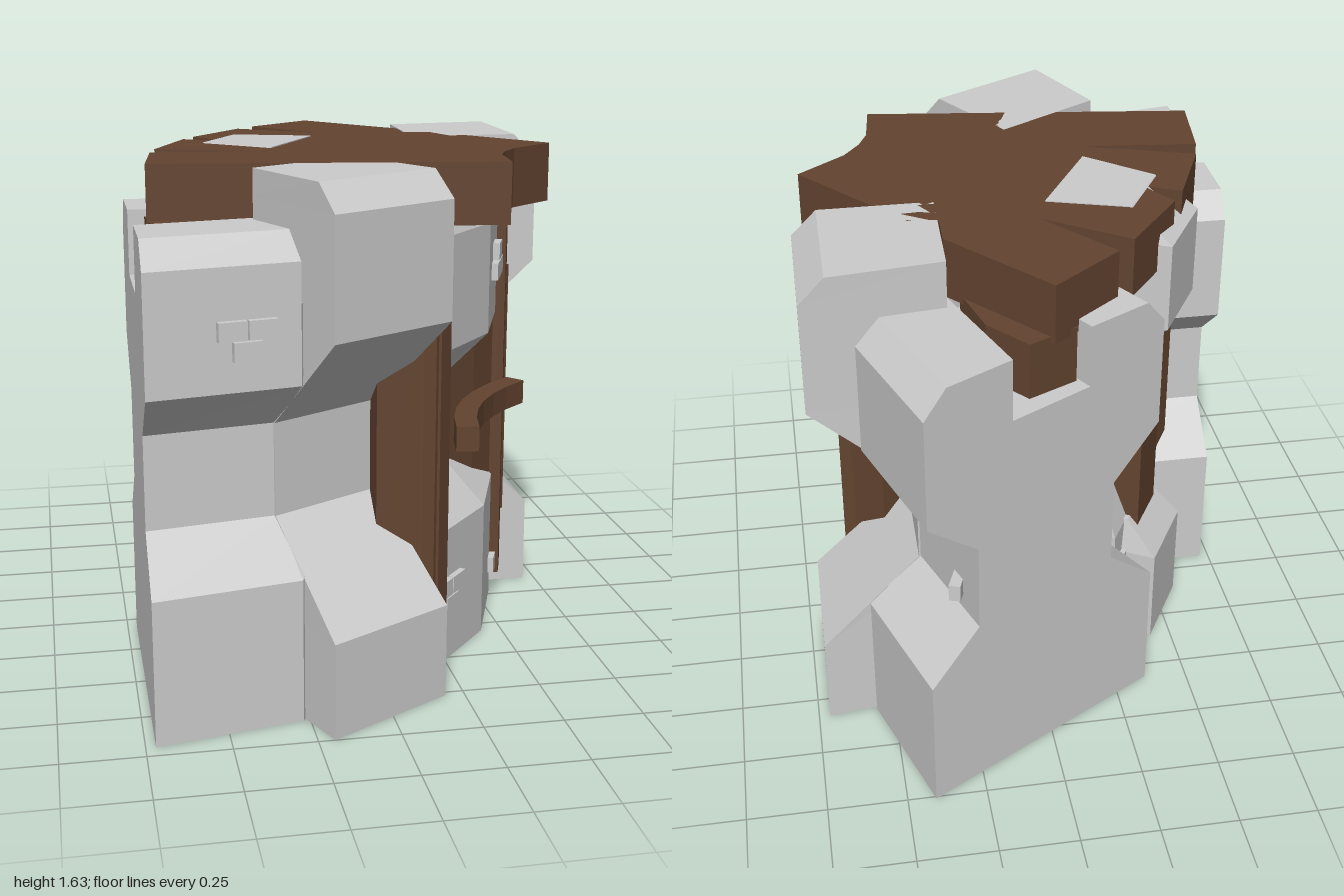
import * as THREE from 'three';

const stone = new THREE.MeshStandardMaterial({ color: 0xcccccc, flatShading: true });
const wood = new THREE.MeshStandardMaterial({ color: 0x634430, flatShading: true });

// Plan points are [x, z]. The corner mirrors about an axis through (0, 0.06), 30 degrees off x.
const C60 = 0.5, S60 = Math.sqrt(3) / 2;
const mirror = ([x, z]) => [x * C60 + (z - 0.06) * S60, x * S60 - (z - 0.06) * C60 + 0.06];
// t runs along the axis to the inner side of the corner, w runs across it
const onAxis = (t, w) => [-t * S60 - w * C60, 0.06 - t * C60 + w * S60];
const axisRect = (t0, t1, w0, w1 = w0) => [onAxis(t0, w0), onAxis(t1, w1), onAxis(t1, -w1), onAxis(t0, -w0)];

// Solid through horizontal sections: levels = [[y, plan], ...] from bottom to top
function loft(name, material, levels) {
  const flip = THREE.ShapeUtils.area(levels[0][1].map(p => new THREE.Vector2(...p))) > 0;
  const rings = levels.map(([y, plan]) => {
    const ring = plan.map(([x, z]) => [x, y, z]);
    return flip ? ring.reverse() : ring;
  });
  const pos = [];
  const tri = (a, b, c) => pos.push(...a, ...b, ...c);
  for (let k = 0; k < rings.length - 1; k++) {
    const lo = rings[k], hi = rings[k + 1];
    lo.forEach((a, i) => {
      const j = (i + 1) % lo.length;
      tri(a, lo[j], hi[j]);
      tri(a, hi[j], hi[i]);
    });
  }
  const cap = (ring, up) => {
    const flat = ring.map(p => new THREE.Vector2(p[0], p[2]));
    for (const [a, b, c] of THREE.ShapeUtils.triangulateShape(flat, [])) {
      const A = flat[a], B = flat[b], D = flat[c];
      const cross = (B.x - A.x) * (D.y - A.y) - (B.y - A.y) * (D.x - A.x);
      if ((cross < 0) === up) tri(ring[a], ring[b], ring[c]);
      else tri(ring[a], ring[c], ring[b]);
    }
  };
  cap(rings[0], false);
  cap(rings[rings.length - 1], true);
  const g = new THREE.BufferGeometry();
  g.setAttribute('position', new THREE.Float32BufferAttribute(pos, 3));
  g.computeVertexNormals();
  const mesh = new THREE.Mesh(g, material);
  mesh.name = name;
  return mesh;
}

export function createModel() {
  const model = new THREE.Group();
  const add = (name, mat, levels) => model.add(loft(name, mat, levels));
  const addPair = (name, mat, levels) => {
    add(name, mat, levels);
    add(name + 'Mirrored', mat, levels.map(([y, plan]) => [y, plan.map(mirror)]));
  };
  const prism = (plan, y0, y1) => [[y0, plan], [y1, plan]];

  // Wall arms: waisted on both sides, with a slot between two parapets
  const arm = k => [[-0.72, 0.95 - k], [-0.27 - k * 0.28, 0.86 - k * 0.9], [-0.1, 0.5], [-0.1, 0.06 + k], [-0.72, 0.06 + k]];
  addPair('wallArm', stone, [[0, arm(0)], [0.45, arm(0)], [0.6, arm(0.18)], [0.89, arm(0.18)], [1.04, arm(0)], [1.28, arm(0)]]);
  const outer = k => [[-0.72, 0.95 - k], [-0.27 - k * 0.28, 0.86 - k * 0.9], [-0.3, 0.56], [-0.72, 0.64]];
  addPair('outerParapet', stone, [[1.28, outer(0)], [1.4, outer(0)], [1.48, outer(0.08)]]);
  const inner = k => [[-0.72, 0.35], [-0.25, 0.35], [-0.25, 0.06 + k], [-0.72, 0.06 + k]];
  addPair('innerParapet', stone, [[1.28, inner(0)], [1.4, inner(0)], [1.48, inner(0.07)]]);

  // Taller buttresses beside the opening
  const buttress = k => [[-0.2 - k * 0.4, 1 - k * 0.92], [0.19 - k * 0.5, 0.77 - k * S60], [-0.03, 0.39], [-0.37, 0.6]];
  addPair('buttress', stone, [[0, buttress(0)], [0.3, buttress(0)], [0.6, buttress(0.32)], [0.89, buttress(0.32)],
    [1.19, buttress(0)], [1.55, buttress(0)], [1.63, buttress(0.08)]]);

  // Corner face, pinched to a thin pillar in the middle
  const corner = [[0.2, 0.58], [0.43, 0.31], mirror([0.2, 0.58]), mirror([0, 0.5]), [0, 0.06], [0, 0.5]];
  const pillar = [[0.265, 0.255], [0.305, 0.236], mirror([0.265, 0.255]), mirror([0.2, 0.28]), [0.1, 0.12], [0.2, 0.28]];
  const cornerTop = corner.map(([x, z]) => [0.2 + (x - 0.2) * 0.85, 0.18 + (z - 0.18) * 0.85]);
  add('cornerFace', stone, [[0, corner], [0.45, corner], [0.6, pillar], [0.89, pillar], [1.04, corner], [1.4, corner], [1.48, cornerTop]]);

  // Timber lining of the recess
  const half = [[0, 0.61], [0.13, 0.635], [0.19, 0.65], [0.2, 0.58], [0.24, 0.44], [0.265, 0.25]];
  addPair('recessLining', wood, prism([...half, [0.15, 0.147], [0, 0.3]], 0.3, 1.19));
  addPair('innerLining', wood, prism([[-0.58, 0.15], [-0.45, 0], [-0.3, 0.1], [-0.5, 0.35]], 0.35, 1.15));

  // Inner corner: low stone backing, then a column of two stones around a timber
  const back = (t, w) => axisRect(0, t, w);
  add('innerBacking', stone, [[0, back(0.46, 0.225)], [0.45, back(0.46, 0.225)], [0.6, back(0.4, 0.2)],
    [0.89, back(0.4, 0.2)], [1.04, back(0.46, 0.225)], [1.4, back(0.46, 0.225)]]);
  add('columnBase', stone, [[0, axisRect(0.15, 0.58, 0.145)], [0.34, axisRect(0.15, 0.58, 0.145)], [0.46, axisRect(0.15, 0.47, 0.12)]]);
  add('columnTimber', wood, prism(axisRect(0.2, 0.5, 0.095), 0.3, 1.3));
  add('columnTop', stone, [[1.17, axisRect(0.18, 0.49, 0.18, 0.13)], [1.24, axisRect(0.18, 0.58, 0.18, 0.145)],
    [1.53, axisRect(0.18, 0.58, 0.18, 0.145)], [1.633, axisRect(0.18, 0.44, 0.18, 0.125)]]);

  // Roof deck with a scooped front edge and loose plank ends
  const deck = [[0.67, 0.14], [0.515, 0.265], [0.46, 0.345], [0.43, 0.42], [0.41, 0.6],
    [-0.67, 0.455], [-0.635, 0.17], [-0.26, 0.21], [-0.615, 0.09], [-0.5, -0.18], [-0.385, -0.12],
    [-0.46, -0.245], [-0.28, -0.48], [-0.03, -0.3], [-0.22, -0.545], [0, -0.725], [0.275, -0.385], [0.27, -0.26], [0.365, -0.25]];
  add('roofDeck', wood, prism(deck, 1.44, 1.63));
  addPair('deckBeam', wood, prism([[-0.67, 0.36], [-0.66, 0.53], [-0.49, 0.555], [-0.3, 0.5], [-0.3, 0.38]], 1.28, 1.46));

  // Posts at the opening
  addPair('post', wood, prism([[0.52, -0.02], [0.575, 0], [0.605, -0.09], [0.545, -0.12]], 0.08, 1.44));

  // Curved rail between the posts
  const curve = new THREE.QuadraticBezierCurve(new THREE.Vector2(0.295, 0.585), new THREE.Vector2(0.335, 0.255), new THREE.Vector2(0.605, 0.045));
  const near = [], far = [];
  for (let i = 0; i <= 6; i++) {
    const p = curve.getPoint(i / 6), d = curve.getTangent(i / 6);
    near.push([p.x - d.y * 0.036, p.y + d.x * 0.036]);
    far.unshift([p.x + d.y * 0.036, p.y - d.x * 0.036]);
  }
  add('curvedRail', wood, prism([...near, ...far], 0.73, 0.81));

  // Raised bricks
  const brickGeometry = new THREE.BoxGeometry(0.085, 0.056, 0.036);
  const bricks = (x, y, z, angle, offsets) => {
    const group = new THREE.Group();
    group.name = 'raisedBricks';
    for (const [dx, dy] of offsets) {
      const brick = new THREE.Mesh(brickGeometry, stone);
      brick.name = 'brick';
      brick.position.set(dx, dy, 0);
      group.add(brick);
    }
    group.position.set(x, y, z);
    group.rotation.y = angle;
    model.add(group);
  };
  const pairOverOne = [[-0.045, 0.03], [0.045, 0.03], [0, -0.03]];
  const oneOverPair = [[-0.045, -0.03], [0.045, -0.03], [0, 0.03]];
  bricks(-0.43, 1.19, 0.895, 0.2, pairOverOne);
  bricks(0.26, 0.23, 0.513, 0.865, pairOverOne);
  bricks(0.5, 1.25, 0.13, 1.2, oneOverPair);
  bricks(0.54, 0.13, 0.01, 1.2, [[0, 0]]);
  bricks(0.305, 0.68, -0.81, 1.22, [[0, 0]]);
  const backAngle = Math.atan2(-S60, -C60);
  const [lx, lz] = onAxis(0.46, 0.185), [rx, rz] = onAxis(0.46, -0.185);
  bricks(lx, 1.27, lz, backAngle, [[0, 0]]);
  bricks(rx, 0.28, rz, backAngle, [[0, -0.03], [0, 0.04]]);

  return model;
}
